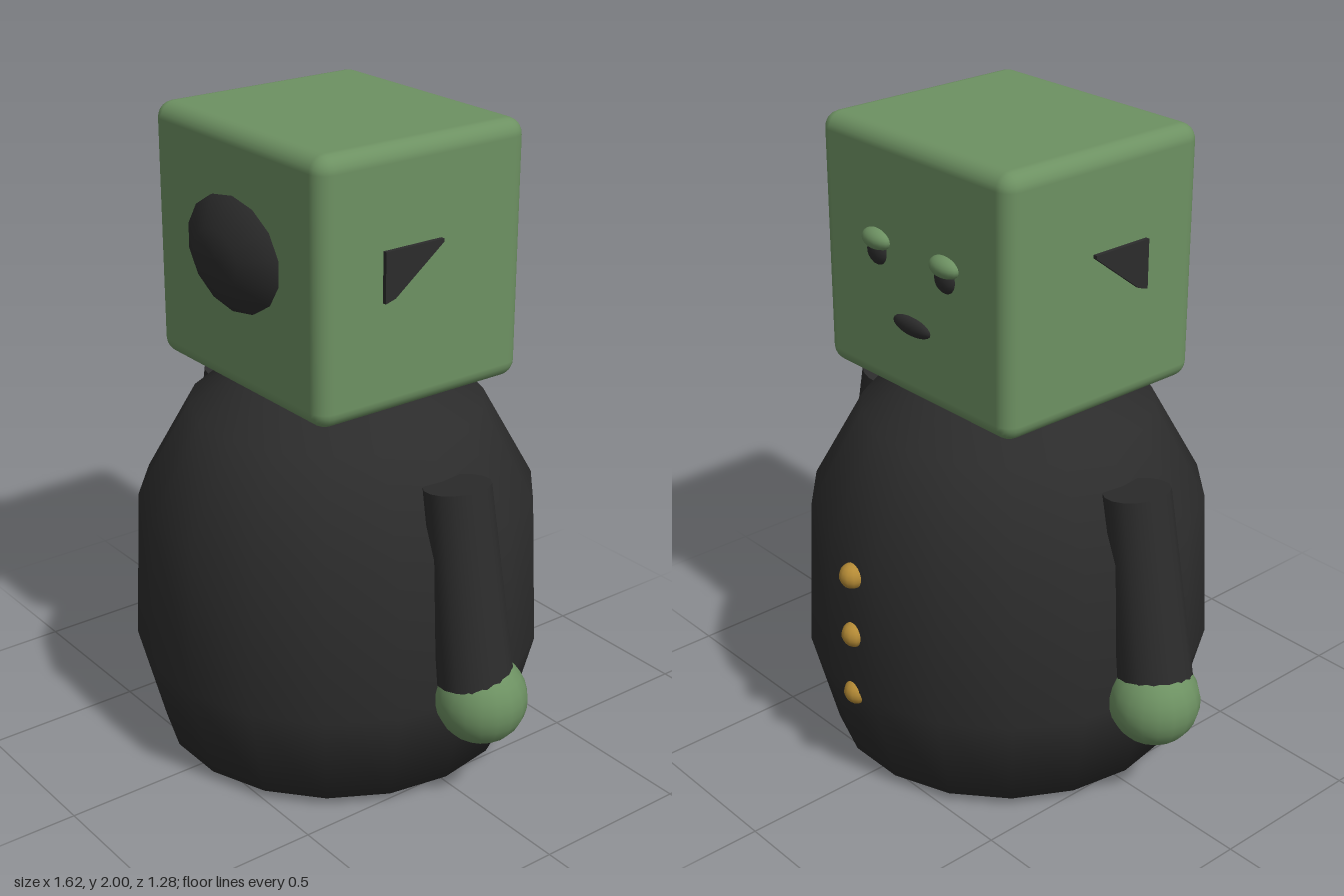
import * as THREE from 'three';
import { RoundedBoxGeometry } from 'three/addons/geometries/RoundedBoxGeometry.js';

const charcoal = new THREE.MeshStandardMaterial({ name: 'charcoal', color: 0x2c2c2c });
const green = new THREE.MeshStandardMaterial({ name: 'mossGreen', color: 0x6d9162 });
const gold = new THREE.MeshStandardMaterial({ name: 'gold', color: 0xb58b36 });

const points = list => list.map(([x, y]) => new THREE.Vector2(x, y));

export function createModel() {
  const model = new THREE.Group();
  model.name = 'boxHeadFigure';

  const add = (name, geometry, material, x = 0, y = 0, z = 0) => {
    const mesh = new THREE.Mesh(geometry, material);
    mesh.name = name;
    mesh.position.set(x, y, z);
    model.add(mesh);
    return mesh;
  };
  const ellipsoid = (name, material, [x, y, z], [rx, ry, rz], segs = 16) =>
    add(name, new THREE.SphereGeometry(1, segs, Math.ceil(segs * 0.7)).scale(rx, ry, rz), material, x, y, z);

  // Round robe with a narrow neck
  const profile = points([[0, 0.03], [0.56, 0.03], [0.64, 0.34], [0.617, 0.82], [0.455, 1.11], [0.23, 1.225], [0, 1.25]]);
  const body = new THREE.LatheGeometry(profile, 18, Math.PI / 18);
  add('body', body.scale(0.98, 1, 1), charcoal, 0, 0, 0.012);

  // Cube head
  add('head', new RoundedBoxGeometry(0.82, 0.78, 0.735, 3, 0.05), green, 0, 1.61, 0.012);

  // Shallow oval dome on the front of the head
  const dome = new THREE.LatheGeometry(points([[1, -0.02], [1, 0.008], [0.5, 0.066], [0, 0.068]]), 14);
  dome.rotateX(Math.PI / 2).scale(0.225, 0.17, 1);
  add('headDome', dome, charcoal, 0, 1.637, 0.378);

  // Face on the rear side: mouth, eyes and heavy lids
  ellipsoid('mouth', charcoal, [0, 1.455, -0.352], [0.085, 0.03, 0.022]);

  const earShape = new THREE.Shape(points([[0.165, 1.71], [0.165, 1.56], [0.13, 1.57], [-0.04, 1.7], [-0.04, 1.71]]));

  for (const side of [1, -1]) {
    const label = side > 0 ? 'left' : 'right';
    ellipsoid(label + 'Eye', charcoal, [side * 0.15, 1.645, -0.35], [0.045, 0.045, 0.025]);
    ellipsoid(label + 'Eyelid', green, [side * 0.15, 1.68, -0.352], [0.06, 0.033, 0.037]);

    // Triangular ear plate
    const ear = new THREE.ExtrudeGeometry(earShape, { depth: 0.035, bevelEnabled: false });
    ear.rotateY(-Math.PI / 2);
    add(label + 'Ear', ear, charcoal, side > 0 ? 0.423 : -0.388);

    // Sleeve from shoulder to wrist
    const shoulder = new THREE.Vector3(side * 0.56, 1.02, 0.008);
    const wrist = new THREE.Vector3(side * 0.66, 0.43, 0.006);
    const axis = shoulder.clone().sub(wrist);
    const sleeve = add(label + 'Sleeve', new THREE.CylinderGeometry(0.1, 0.115, axis.length(), 16), charcoal);
    sleeve.position.copy(shoulder).add(wrist).multiplyScalar(0.5);
    sleeve.quaternion.setFromUnitVectors(new THREE.Vector3(0, 1, 0), axis.normalize());

    ellipsoid(label + 'Hand', green, [side * 0.675, 0.37, -0.007], [0.138, 0.138, 0.138], 18);
    ellipsoid(label + 'Foot', charcoal, [side * 0.2, 0.08, -0.09], [0.14, 0.08, 0.2]);
  }

  // Three buttons down the rear
  [0.73, 0.528, 0.325].forEach((y, i) =>
    ellipsoid('button' + (i + 1), gold, [0, y, -0.602], [0.04, 0.04, 0.04], 12));

  return model;
}
